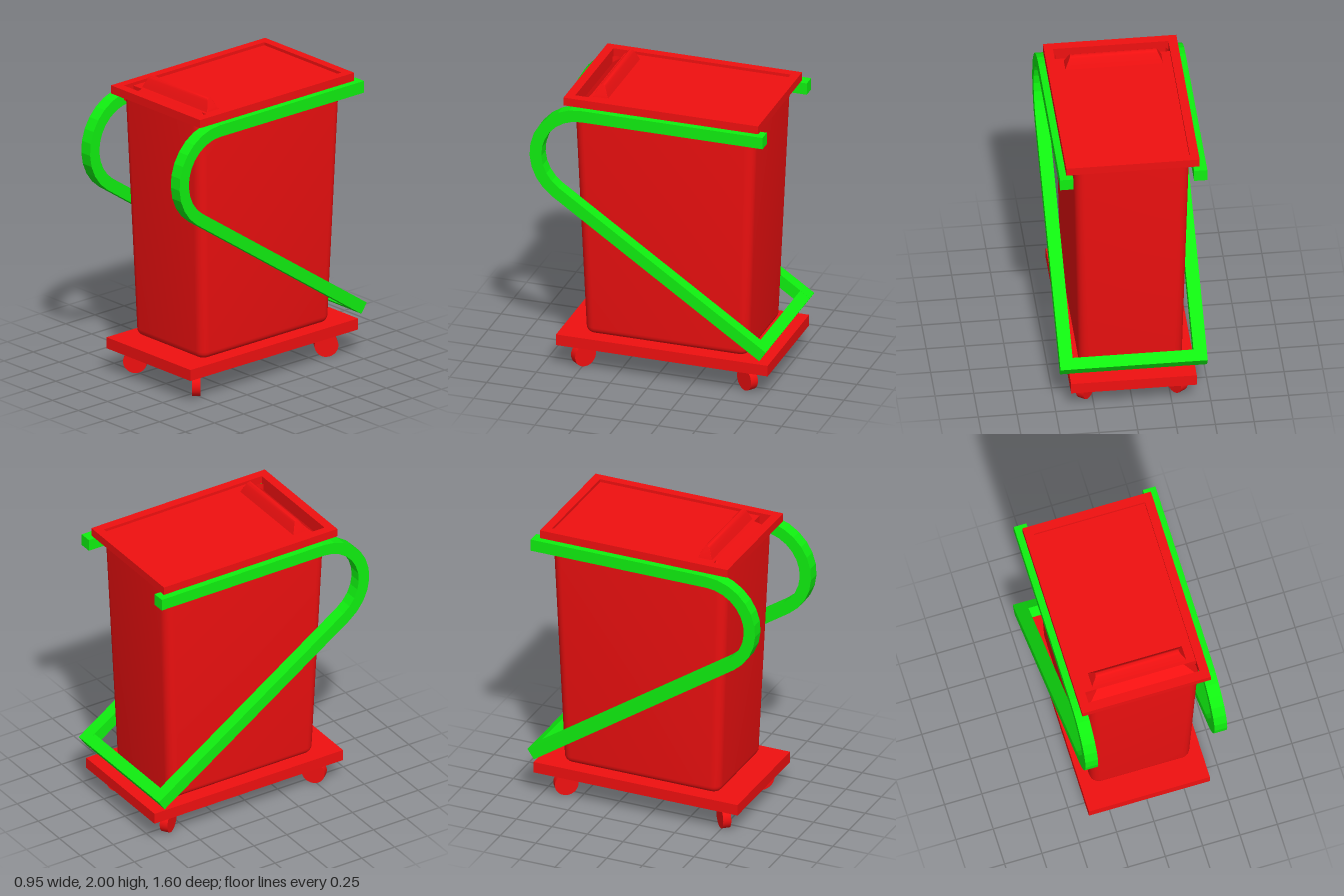
import * as THREE from 'three';
import { toCreasedNormals } from 'three/addons/utils/BufferGeometryUtils.js';

const red = new THREE.MeshStandardMaterial({ color: 0xf01010 });
const redOpen = new THREE.MeshStandardMaterial({ color: 0xf01010, side: THREE.DoubleSide });
const green = new THREE.MeshStandardMaterial({ color: 0x10f010 });

function add(parent, name, geometry, material, x = 0, y = 0, z = 0) {
  const mesh = new THREE.Mesh(geometry, material);
  mesh.name = name;
  mesh.position.set(x, y, z);
  parent.add(mesh);
  return mesh;
}

// Stack of rounded rectangles [y, halfX, halfZ, cornerRadius], closed below and optionally above
function loft(sections, seg, capTop, crease) {
  const pos = [], index = [], n = 4 * (seg + 1);
  for (const [y, hx, hz, r] of sections) {
    for (let c = 0; c < 4; c++) {
      const sx = c === 0 || c === 3 ? 1 : -1, sz = c < 2 ? 1 : -1;
      for (let i = 0; i <= seg; i++) {
        const a = (c + i / seg) * Math.PI / 2;
        pos.push(sx * (hx - r) + r * Math.cos(a), y, sz * (hz - r) + r * Math.sin(a));
      }
    }
  }
  const last = sections.length - 1;
  const bottom = pos.length / 3, top = bottom + 1;
  pos.push(0, sections[0][0], 0, 0, sections[last][0], 0);
  for (let i = 0; i < n; i++) {
    const j = (i + 1) % n;
    for (let s = 0; s < last; s++) {
      const a = s * n + i, b = s * n + j;
      index.push(a, a + n, b, b, a + n, b + n);
    }
    index.push(bottom, i, j);
    if (capTop) index.push(top, last * n + j, last * n + i);
  }
  const g = new THREE.BufferGeometry();
  g.setAttribute('position', new THREE.Float32BufferAttribute(pos, 3));
  g.setIndex(index);
  return toCreasedNormals(g, crease);
}

function rectPoints(x, z0, z1) {
  return [[-x, z0], [x, z0], [x, z1], [-x, z1]].map(([a, b]) => new THREE.Vector2(a, b));
}

// Side outline of a bent bar: straight top, round front bend, straight slope to the lower back
function railGeometry(width, thick) {
  const path = [[-0.775, 1.845]];
  const cz = 0.458, cy = 1.538, r = 0.307, steps = 11, sweep = Math.PI - SLOPE;
  for (let i = 0; i <= steps; i++) {
    const a = Math.PI / 2 - sweep * i / steps;
    path.push([cz + r * Math.cos(a), cy + r * Math.sin(a)]);
  }
  path.push(LOW_END);
  const outer = [], inner = [];
  path.forEach((p, i) => {
    const a = path[Math.max(i - 1, 0)], b = path[Math.min(i + 1, path.length - 1)];
    // Bend ends keep the direction of the straight runs
    let dz = b[0] - a[0], dy = b[1] - a[1];
    if (i === 1) { dz = 1; dy = 0; }
    if (i >= path.length - 2) { dz = -Math.cos(SLOPE); dy = -Math.sin(SLOPE); }
    const k = thick / 2 / Math.hypot(dz, dy);
    outer.push(new THREE.Vector2(p[0] - dy * k, p[1] + dz * k));
    inner.unshift(new THREE.Vector2(p[0] + dy * k, p[1] - dz * k));
  });
  const g = new THREE.ExtrudeGeometry(new THREE.Shape([...outer, ...inner]), { depth: width, bevelEnabled: false });
  return g.translate(0, 0, -width / 2).rotateY(-Math.PI / 2);
}
const SLOPE = 0.597;
const LOW_END = [-0.775, 0.333];

export function createModel() {
  const model = new THREE.Group();
  model.name = 'wheeledBin';

  // Tapered container with rounded corners and bottom edge
  const sections = [];
  for (let i = 0; i <= 5; i++) {
    const a = i / 5 * Math.PI / 2, inset = 0.05 * (1 - Math.sin(a));
    sections.push([0.24 + 0.05 * (1 - Math.cos(a)), 0.335 - inset, 0.553 - inset, 0.065 - inset]);
  }
  sections.push([1.89, 0.373, 0.617, 0.065]);
  add(model, 'container', loft(sections, 6, false, Math.PI / 3), redOpen, 0, 0, -0.068);

  // Lid: raised rim, sunken panel, finger pocket and grip
  const lid = new THREE.Group();
  lid.name = 'lid';
  model.add(lid);
  const rim = new THREE.Shape(rectPoints(0.43, -0.59, 0.73));
  rim.holes.push(new THREE.Path(rectPoints(0.372, -0.53, 0.672)));
  const rimGeo = new THREE.ExtrudeGeometry(rim, { depth: 0.055, bevelEnabled: false }).rotateX(-Math.PI / 2);
  add(lid, 'lidRim', rimGeo, red, 0, 1.885, 0);
  add(lid, 'lidPanel', new THREE.BoxGeometry(0.744, 0.06, 1.122), red, 0, 1.89, -0.111);

  // Pocket floor: slopes down to the front and sides
  const hi = 1.92, lo = 1.845, zb = 0.45, zf = 0.53;
  const p = [[-0.372, lo, zb], [-0.29, hi, zb], [0.29, hi, zb], [0.372, lo, zb], [0.372, lo, zf], [-0.372, lo, zf]];
  const faces = [0, 5, 1, 1, 5, 4, 1, 4, 2, 2, 4, 3];
  const pocket = new THREE.BufferGeometry();
  pocket.setAttribute('position', new THREE.Float32BufferAttribute(faces.flatMap(i => p[i]), 3));
  pocket.computeVertexNormals();
  add(lid, 'fingerPocket', pocket, redOpen);
  const wall = new THREE.PlaneGeometry(0.744, 0.06);
  add(lid, 'pocketFrontWall', wall, redOpen, 0, 1.87, 0.53);

  const grip = [
    [1.915, 0.316, 0.051, 0.001], [1.94, 0.307, 0.04, 0.001], [1.982, 0.287, 0.022, 0.001],
    [1.994, 0.282, 0.014, 0.001], [2, 0.279, 0.005, 0.001],
  ];
  add(lid, 'lidGrip', loft(grip, 1, true, 0.6), red, 0, 0, 0.378);

  // Platform
  add(model, 'platform', new THREE.BoxGeometry(0.81, 0.075, 1.435), red, 0, 0.203, -0.068);

  // Swivelled wheels, mirrored left and right
  for (const side of [-1, 1]) {
    for (const [z, turn] of [[0.502, 0.72], [-0.61, -0.96]]) {
      const geo = new THREE.CylinderGeometry(0.077, 0.077, 0.054, 32).rotateX(Math.PI / 2);
      const wheel = add(model, z > 0 ? 'frontWheel' : 'rearWheel', geo, red, side * 0.293, 0.077, z);
      wheel.rotation.y = -side * turn;
    }
  }

  // Bent side rails joined by a low rear bar
  const frame = new THREE.Group();
  frame.name = 'pushFrame';
  model.add(frame);
  for (const side of [-1, 1]) {
    add(frame, side > 0 ? 'leftRail' : 'rightRail', railGeometry(0.085, 0.08), green, side * 0.432, 0, 0);
  }
  const bar = add(frame, 'rearBar', new THREE.BoxGeometry(0.79, 0.079, 0.079), green, 0,
    LOW_END[1] + 0.04 * Math.sin(SLOPE), LOW_END[0] + 0.04 * Math.cos(SLOPE));
  bar.rotation.x = -SLOPE;

  return model;
}
